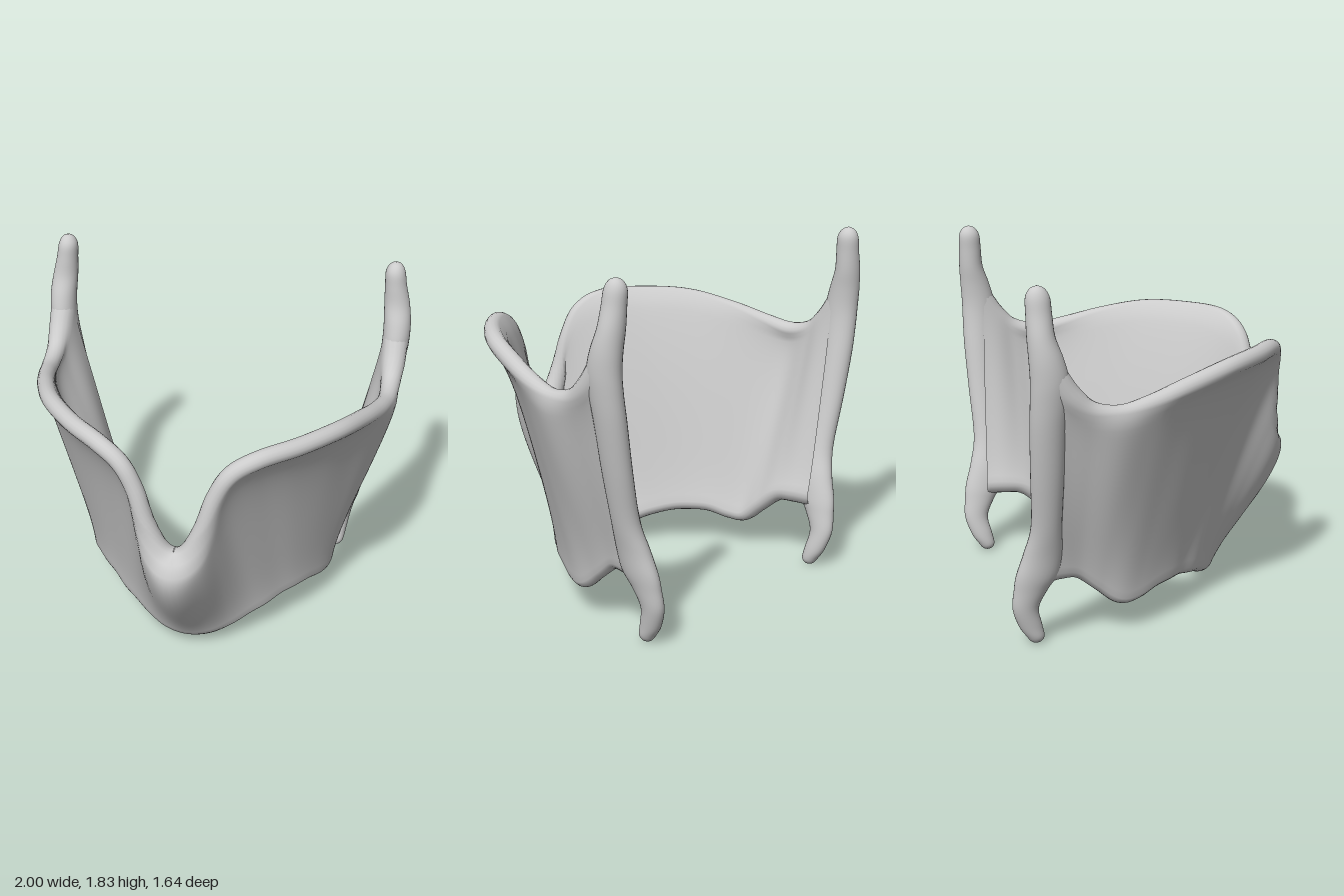
import * as THREE from 'three';
import { mergeVertices } from 'three/addons/utils/BufferGeometryUtils.js';

const V = (x, y, z) => new THREE.Vector3(x, y, z);
const spline = (pts) => new THREE.CatmullRomCurve3(pts, false, 'catmullrom', 0.5);

// Smooth skin through a list of closed rings of equal length
function skin(rings) {
  const n = rings[0].length, pos = [], idx = [];
  rings.forEach((r) => r.forEach((p) => pos.push(p.x, p.y, p.z)));
  for (let i = 0; i < rings.length - 1; i++) {
    for (let j = 0; j < n; j++) {
      const k = (j + 1) % n, a = i * n + j, b = i * n + k, c = a + n, d = b + n;
      idx.push(a, b, c, b, d, c);
    }
  }
  let g = new THREE.BufferGeometry();
  g.setAttribute('position', new THREE.Float32BufferAttribute(pos, 3));
  g.setIndex(idx);
  g = mergeVertices(g, 1e-5);
  g.computeVertexNormals();
  return g;
}

// Half of the shield from midline to rear:
// top x,y,z | bottom x,y,z | outward bulge | extra half thickness
const stations = [
  [0, 0.765, 0.69, 0, 0.12, 0.35, 0.122, 0.025],
  [0.08, 0.82, 0.69, 0.10, 0.12, 0.335, 0.075, 0.015],
  [0.145, 0.97, 0.685, 0.20, 0.14, 0.285, 0.03, 0.004],
  [0.20, 1.15, 0.67, 0.29, 0.18, 0.225, 0, 0],
  [0.275, 1.28, 0.65, 0.36, 0.205, 0.17, -0.02, 0],
  [0.40, 1.345, 0.59, 0.43, 0.23, 0.09, -0.04, 0],
  [0.57, 1.355, 0.45, 0.50, 0.235, 0.01, -0.045, 0],
  [0.73, 1.345, 0.25, 0.56, 0.23, -0.08, -0.04, 0],
  [0.83, 1.295, 0.02, 0.61, 0.20, -0.18, -0.02, 0],
  [0.89, 1.24, -0.18, 0.64, 0.20, -0.27, 0.01, 0],
  [0.92, 1.21, -0.34, 0.65, 0.28, -0.37, 0.035, 0],
  [0.925, 1.235, -0.48, 0.66, 0.37, -0.48, 0.012, 0.006],
  [0.925, 1.31, -0.58, 0.675, 0.395, -0.58, -0.005, 0.018],
  [0.925, 1.42, -0.66, 0.70, 0.395, -0.68, 0, 0.022],
];

// Bent, keeled plate with rounded upper and lower rims
function shieldGeometry() {
  const mirrored = stations.slice(1).reverse().map(([a, b, c, d, e, f, ...rest]) => [-a, b, c, -d, e, f, ...rest]);
  const all = [...mirrored, ...stations];
  const top = spline(all.map((s) => V(s[0], s[1], s[2])));
  const bottom = spline(all.map((s) => V(s[3], s[4], s[5])));
  const swell = spline(all.map((s) => V(s[6], s[7], 0)));
  const clamp = (t) => Math.min(1, Math.max(0, t));
  const mid = (u) => top.getPoint(clamp(u)).lerp(bottom.getPoint(clamp(u)), 0.5);
  const surface = (u, v) => {
    const p = top.getPoint(u).lerp(bottom.getPoint(u), v);
    const d = mid(u + 0.005).sub(mid(u - 0.005));
    const out = V(-d.z, 0, d.x).normalize();
    return p.addScaledVector(out, swell.getPoint(u).x * Math.sin(Math.PI * Math.pow(v, 0.52)));
  };
  const half = (u, v) => 0.031 + 0.015 * Math.pow(Math.abs(2 * v - 1), 5) + swell.getPoint(u).y;
  const frame = (u, v) => {
    const e = 0.006;
    const du = surface(clamp(u + e), v).sub(surface(clamp(u - e), v)).normalize();
    const dv = surface(u, clamp(v + 0.04)).sub(surface(u, clamp(v - 0.04))).normalize();
    const n = dv.cross(du).normalize();
    return { p: surface(u, v), n, e: n.clone().cross(du), h: half(u, v) };
  };
  const rings = [], NU = 156, NV = 28, NC = 8;
  for (let i = 0; i <= NU; i++) {
    const col = Array.from({ length: NV + 1 }, (_, j) => frame(i / NU, j / NV));
    const ring = col.map((f) => f.p.clone().addScaledVector(f.n, f.h));
    const cap = (f, s) => {
      for (let k = 1; k < NC; k++) {
        const a = (k / NC) * Math.PI;
        ring.push(f.p.clone().addScaledVector(f.n, s * f.h * Math.cos(a)).addScaledVector(f.e, -s * f.h * Math.sin(a)));
      }
    };
    cap(col[NV], 1);
    for (let j = NV; j >= 0; j--) ring.push(col[j].p.clone().addScaledVector(col[j].n, -col[j].h));
    cap(col[0], -1);
    rings.push(ring);
  }
  return skin(rings);
}

// Rear border with upper and lower horns: x, y, z, radius in x, radius in z
const hornRings = [
  [0.895, 1.83, -0.715, 0.002, 0.002],
  [0.895, 1.815, -0.715, 0.032, 0.034],
  [0.895, 1.775, -0.713, 0.052, 0.056],
  [0.902, 1.70, -0.71, 0.058, 0.06],
  [0.915, 1.60, -0.705, 0.068, 0.065],
  [0.925, 1.50, -0.685, 0.072, 0.08],
  [0.925, 1.40, -0.67, 0.072, 0.09],
  [0.915, 1.30, -0.67, 0.07, 0.09],
  [0.89, 1.15, -0.675, 0.068, 0.085],
  [0.84, 0.90, -0.67, 0.064, 0.08],
  [0.78, 0.65, -0.665, 0.062, 0.075],
  [0.738, 0.50, -0.675, 0.064, 0.095],
  [0.716, 0.38, -0.70, 0.062, 0.105],
  [0.703, 0.30, -0.73, 0.054, 0.085],
  [0.688, 0.20, -0.755, 0.047, 0.065],
  [0.672, 0.10, -0.73, 0.045, 0.058],
  [0.666, 0.04, -0.705, 0.04, 0.045],
  [0.664, 0.012, -0.70, 0.025, 0.028],
  [0.664, 0, -0.70, 0.002, 0.002],
];

function hornGeometry(side) {
  const path = spline(hornRings.map((r) => V(r[0], r[1], r[2])));
  const radii = spline(hornRings.map((r) => V(r[3], r[4], 0)));
  const rings = [], NU = 90, NA = 28;
  for (let i = 0; i <= NU; i++) {
    const c = path.getPoint(i / NU), r = radii.getPoint(i / NU);
    rings.push(Array.from({ length: NA }, (_, j) => {
      const a = (j / NA) * Math.PI * 2;
      return V(side * c.x + Math.cos(a) * r.x, c.y, c.z + Math.sin(a) * r.y);
    }));
  }
  return skin(rings);
}

export function createModel() {
  const group = new THREE.Group();
  const material = new THREE.MeshStandardMaterial({ color: 0xcccccc, side: THREE.DoubleSide });
  const add = (name, geometry) => {
    const mesh = new THREE.Mesh(geometry, material);
    mesh.name = name;
    group.add(mesh);
  };
  add('shieldPlate', shieldGeometry());
  add('leftHorns', hornGeometry(1));
  add('rightHorns', hornGeometry(-1));
  return group;
}
